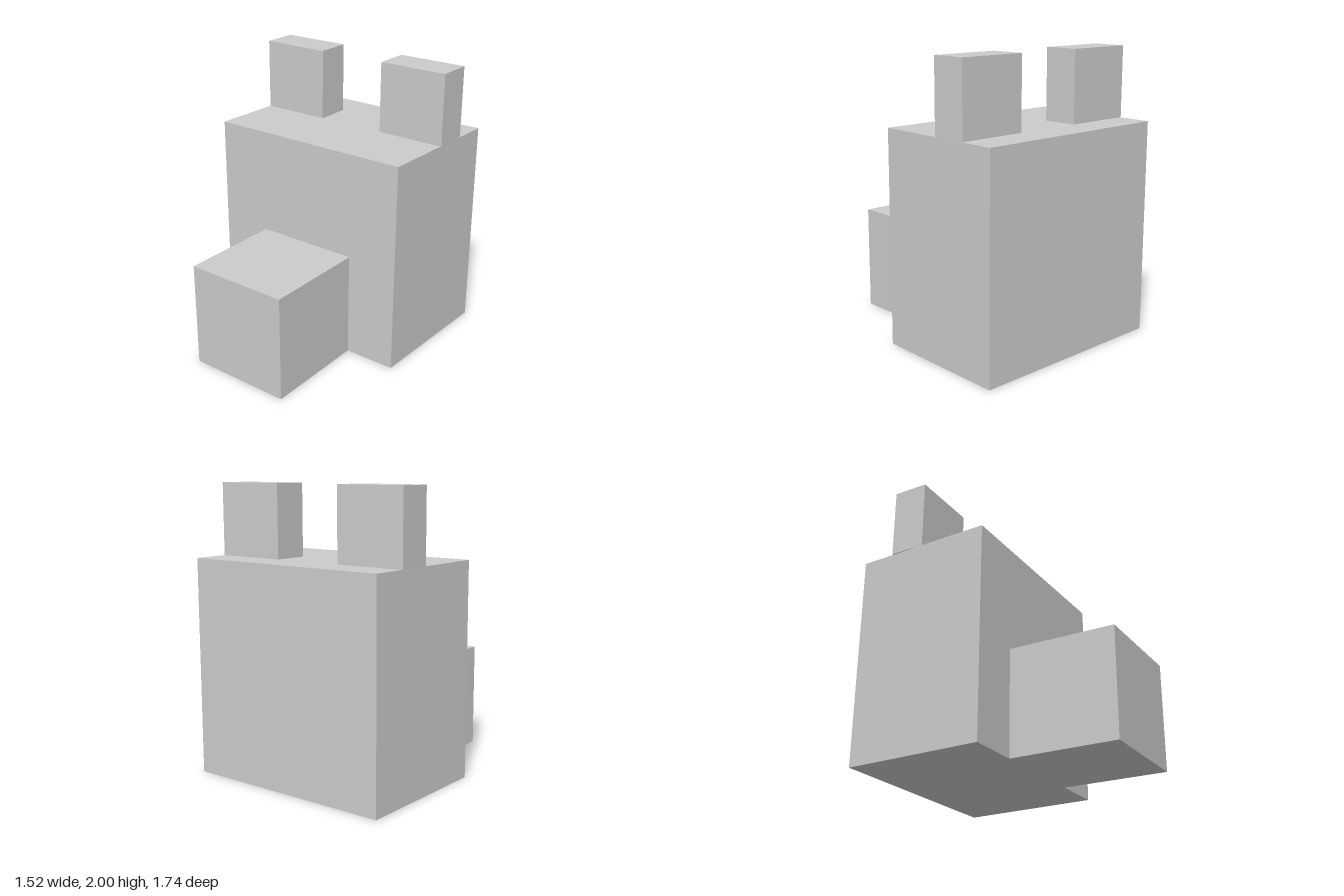
import * as THREE from 'three';

const material = new THREE.MeshStandardMaterial({ color: 0xcccccc, flatShading: true });

// Box given by its extents along each axis
function block(name, [x0, x1], [y0, y1], [z0, z1]) {
  const geometry = new THREE.BoxGeometry(x1 - x0, y1 - y0, z1 - z0);
  geometry.translate((x0 + x1) / 2, (y0 + y1) / 2, (z0 + z1) / 2);
  const mesh = new THREE.Mesh(geometry, material);
  mesh.name = name;
  return mesh;
}

export function createModel() {
  const model = new THREE.Group();
  model.name = 'blockAnimalHead';

  // Head: its sides lean slightly toward -x at the front
  const head = block('head', [-0.75, 0.745], [0, 1.5], [-0.87, 0.12]);
  const pos = head.geometry.attributes.position;
  for (let i = 0; i < pos.count; i++) {
    pos.setX(i, pos.getX(i) + (pos.getZ(i) < 0 ? 0.015 : -0.015));
  }
  head.geometry.computeVertexNormals();
  model.add(head);

  // Snout
  model.add(block('snout', [-0.39, 0.36], [0, 0.75], [0.12, 0.87]));

  // Ears
  model.add(block('leftEar', [0.25, 0.75], [1.5, 2], [-0.625, -0.375]));
  model.add(block('rightEar', [-0.75, -0.25], [1.5, 2], [-0.625, -0.375]));

  return model;
}
